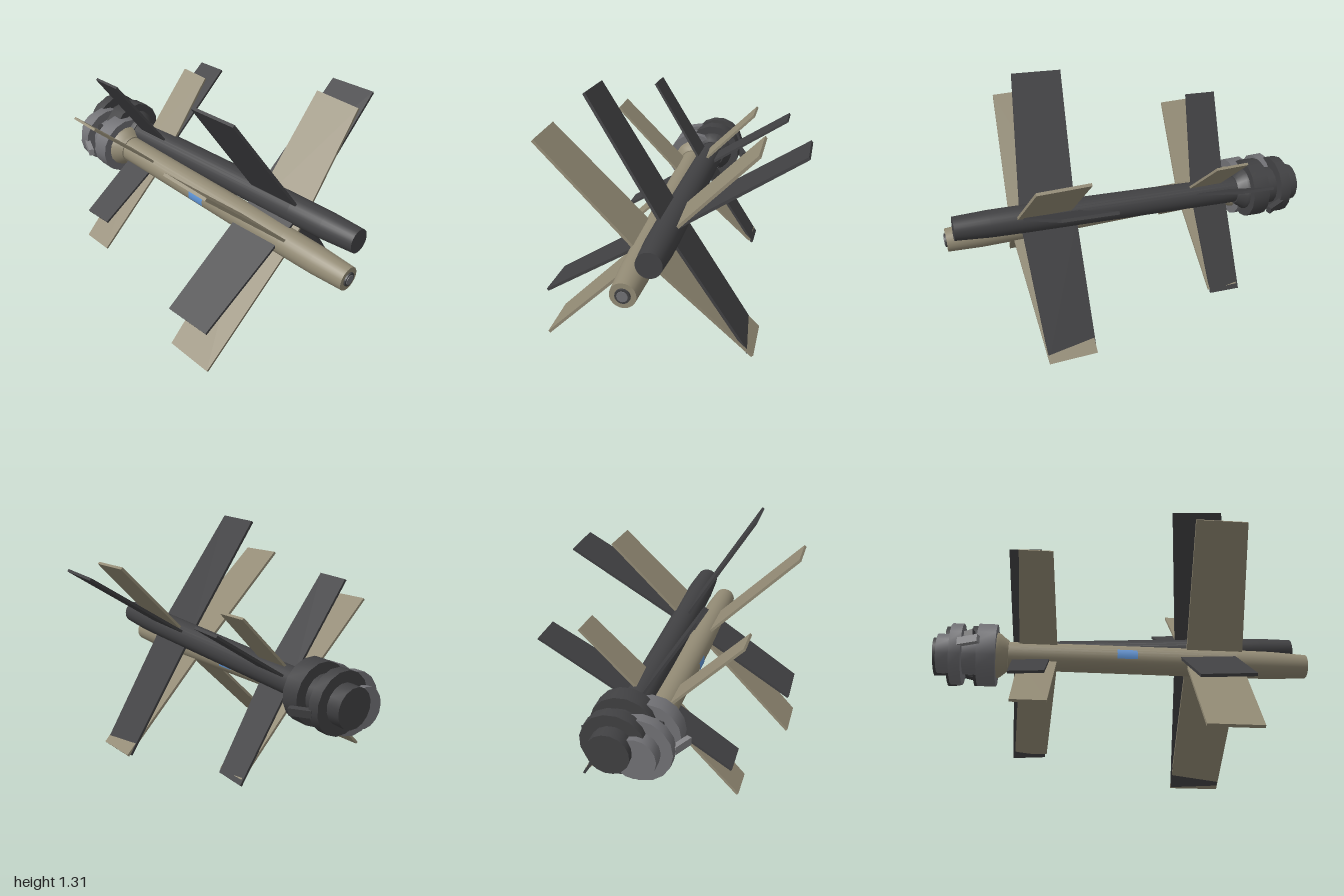
import * as THREE from 'three';
import { toCreasedNormals } from 'three/addons/utils/BufferGeometryUtils.js';

const material = (name, color) => {
  const m = new THREE.MeshStandardMaterial({ color });
  m.name = name;
  return m;
};

// Turned part along z; profile is [radius, z] from rear to front
function turned(name, profile, sides, mat) {
  const pts = profile.map(([r, z]) => new THREE.Vector2(r, z));
  const geo = new THREE.LatheGeometry(pts, sides).rotateX(Math.PI / 2);
  const mesh = new THREE.Mesh(toCreasedNormals(geo, 0.6), mat);
  mesh.name = name;
  return mesh;
}

// Flat tapered blade lying along +x, chord along z
function bladeGeometry(length, rootBack, rootFront, tipBack, tipFront, thick) {
  const s = new THREE.Shape();
  s.moveTo(0.04, rootBack);
  s.lineTo(length, tipBack);
  s.lineTo(length, tipFront);
  s.lineTo(0.04, rootFront);
  s.closePath();
  return new THREE.ExtrudeGeometry(s, { depth: thick, bevelEnabled: false })
    .translate(0, 0, -thick / 2)
    .rotateX(Math.PI / 2);
}

function createTube(name, skin, tail, cone, strutMat) {
  const g = new THREE.Group();
  g.name = name;

  // Slim body with slightly tapered nose
  g.add(turned('body', [[0, -0.66], [0.073, -0.66], [0.075, 0.6], [0.073, 0.8], [0.063, 0.985], [0, 0.985]], 28, skin));

  // Four long front wings and four shorter rear wings
  const blades = {
    frontWing: bladeGeometry(0.763, 0.335, 0.635, 0.318, 0.582, 0.015),
    rearWing: bladeGeometry(0.568, -0.545, -0.347, -0.558, -0.386, 0.013),
  };
  for (const [part, geo] of Object.entries(blades)) {
    for (let i = 0; i < 4; i++) {
      const wing = new THREE.Mesh(geo, skin);
      wing.name = part;
      wing.rotation.z = Math.PI / 4 + (i * Math.PI) / 2;
      g.add(wing);
    }
  }

  // Tail adapter cone and stepped motor housing
  g.add(turned('tailCone', [[0, -0.67], [0.122, -0.67], [0.115, -0.645], [0.09, -0.615], [0.08, -0.6], [0, -0.6]], 16, cone));
  g.add(turned('motorHousing', [
    [0, -0.965], [0.103, -0.965], [0.103, -0.892], [0.16, -0.892], [0.16, -0.833],
    [0.106, -0.833], [0.106, -0.755], [0.163, -0.755], [0.163, -0.66], [0, -0.66],
  ], 16, tail));

  // Slanted strut on each side between the two housing rings
  for (const side of [-1, 1]) {
    const strut = new THREE.Mesh(new THREE.BoxGeometry(0.028, 0.04, 0.115), strutMat);
    strut.name = 'strut';
    strut.position.set(side * 0.172, 0, -0.795);
    strut.rotation.y = side * 0.44;
    g.add(strut);
  }
  return g;
}

export function createModel() {
  const tan = material('tan', 0x938b75);
  const charcoal = material('charcoal', 0x414143);
  const gray = material('gray', 0x717175);
  const lightGray = material('light gray', 0x88888b);
  const blue = material('blue', 0x6096d8);

  const model = new THREE.Group();
  model.name = 'twinWingedTubes';

  // Level tan tube
  const lower = createTube('tanTube', tan, gray, tan, lightGray);
  lower.position.set(-0.107, 0.545, 0);
  model.add(lower);

  // Sensor window in the nose
  lower.add(turned('noseRim', [[0.038, 0.98], [0.036, 0.993], [0, 0.993]], 20, charcoal));
  lower.add(turned('noseLens', [[0.027, 0.99], [0.026, 0.996], [0, 0.996]], 20, gray));

  // Blue plates on both flanks
  for (const side of [-1, 1]) {
    const geo = new THREE.CylinderGeometry(0.078, 0.078, 0.105, 6, 1, true, (side * Math.PI) / 2 - 0.33, 0.66);
    const plate = new THREE.Mesh(geo.rotateX(Math.PI / 2), blue);
    plate.name = 'sidePlate';
    plate.position.z = 0.018;
    lower.add(plate);
  }

  // Dark tube, rolled and pitched slightly nose-up
  const upper = createTube('darkTube', charcoal, charcoal, charcoal, charcoal);
  upper.position.set(0.004, 0.63, -0.037);
  upper.rotation.set(-0.0575, 0, -0.222);
  model.add(upper);

  return model;
}
